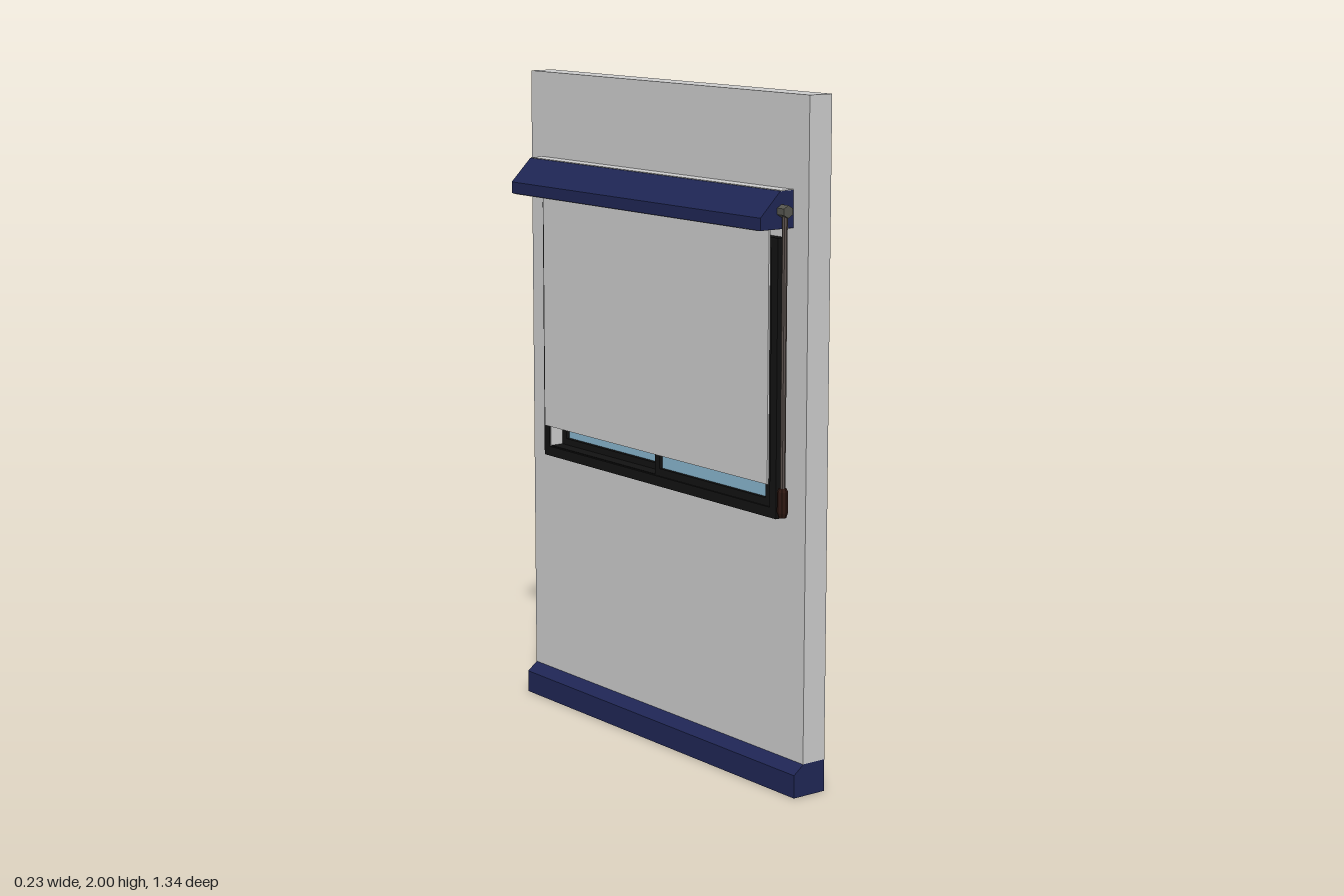
import * as THREE from 'three';

const mat = (color, side = THREE.FrontSide) => new THREE.MeshStandardMaterial({ color, side, flatShading: true });
const GREY = mat(0xcccccc);
const TRIM = mat(0x6f6f6f);
const BLACK = mat(0x121212);
const NAVY = mat(0x1f2655);
const GLASS = mat(0x88b6cf);
const CORD = mat(0x5a504c);
const METAL = mat(0x55554f);
const BROWN = mat(0x2e1812);

function add(parent, name, geometry, material) {
  const mesh = new THREE.Mesh(geometry, material);
  mesh.name = name;
  parent.add(mesh);
  return mesh;
}

// Box given by its limits on each axis
function box(parent, name, [x0, x1], [y0, y1], [z0, z1], material) {
  const mesh = add(parent, name, new THREE.BoxGeometry(x1 - x0, y1 - y0, z1 - z0), material);
  mesh.position.set((x0 + x1) / 2, (y0 + y1) / 2, (z0 + z1) / 2);
  return mesh;
}

const rect = (Type, [z0, z1], [y0, y1]) => new Type([
  new THREE.Vector2(z0, y0), new THREE.Vector2(z1, y0),
  new THREE.Vector2(z1, y1), new THREE.Vector2(z0, y1),
]);

// Rectangular panel across z and y with a rectangular opening, thick along x
function frame(parent, name, [x0, x1], outerZ, outerY, innerZ, innerY, material) {
  const shape = rect(THREE.Shape, outerZ, outerY);
  shape.holes.push(rect(THREE.Path, innerZ, innerY));
  const mesh = add(parent, name, new THREE.ExtrudeGeometry(shape, { depth: x1 - x0, bevelEnabled: false }), material);
  mesh.rotation.y = -Math.PI / 2;
  mesh.position.x = x1;
  return mesh;
}

// Profile in x and y, run along z
function moulding(parent, name, points, [z0, z1], material) {
  const shape = new THREE.Shape(points.map(([x, y]) => new THREE.Vector2(x, y)));
  const mesh = add(parent, name, new THREE.ExtrudeGeometry(shape, { depth: z1 - z0, bevelEnabled: false }), material);
  mesh.position.z = z0;
  return mesh;
}

function sash(parent, name, [x0, x1], [z0, z1]) {
  const group = new THREE.Group();
  group.name = name;
  const y = [0.832, 1.57], bar = 0.021;
  const innerZ = [z0 + bar, z1 - bar], innerY = [y[0] + bar, y[1] - bar];
  frame(group, name + 'Frame', [x0, x1], [z0, z1], y, innerZ, innerY, BLACK);
  const mid = (x0 + x1) / 2;
  box(group, name + 'Glass', [mid - 0.004, mid + 0.004], innerY, innerZ, GLASS);
  parent.add(group);
}

export function createModel() {
  const model = new THREE.Group();
  model.name = 'wallWithWindowAndBlind';

  // Wall with window opening, and skirting
  const openZ = [-0.545, 0.545], openY = [0.83, 1.57];
  frame(model, 'wall', [0.003, 0.083], [-0.67, 0.67], [0.095, 2], openZ, openY, GREY);
  moulding(model, 'skirting',
    [[-0.03, 0], [0.083, 0], [0.083, 0.095], [0.005, 0.095], [-0.03, 0.068]], [-0.67, 0.67], NAVY);

  // Window surrounds on both faces of the wall
  const trimZ = [-0.573, 0.573], trimY = [0.8, 1.6];
  frame(model, 'outerSurround', [0.083, 0.112], trimZ, trimY, openZ, openY, TRIM);
  frame(model, 'innerSurround', [-0.025, 0.003], trimZ, trimY, openZ, openY, BLACK);
  box(model, 'sill', [-0.02, 0.11], [0.828, 0.833], openZ, BLACK);
  for (const s of [-1, 1]) {
    box(model, 'jambLining', [-0.022, 0.109], openY, [s * 0.544 - 0.002, s * 0.544 + 0.002], GREY);
  }

  // Two sliding sashes on separate tracks, with the lining where they meet
  sash(model, 'leftSash', [-0.02, 0.01], [0, 0.542]);
  sash(model, 'rightSash', [0.022, 0.055], [-0.542, 0]);
  box(model, 'meetingStileLining', [-0.018, 0.053], [0.835, 1.568], [-0.002, 0.002], GREY);

  // Blind cassette, open colour on top and underside
  const cassetteZ = [-0.61, 0.605];
  moulding(model, 'blindCassette',
    [[-0.115, 1.63], [0.003, 1.63], [0.003, 1.735], [-0.045, 1.735], [-0.115, 1.665]], cassetteZ, NAVY);
  box(model, 'cassetteTop', [-0.043, 0.003], [1.733, 1.737], cassetteZ, GREY);
  box(model, 'cassetteUnderside', [-0.112, 0.003], [1.628, 1.632], [-0.6, 0.595], GREY);
  box(model, 'blindFabric', [-0.043, -0.037], [0.9, 1.66], [-0.545, 0.555], GREY);

  // Pull cord with its pulley and weight
  const cordX = -0.04, cordZ = 0.62;
  const pulley = add(model, 'cordPulley', new THREE.CylinderGeometry(0.018, 0.018, 0.03, 6), METAL);
  pulley.rotation.x = Math.PI / 2;
  pulley.position.set(cordX, 1.68, cordZ);
  const cord = add(model, 'pullCord', new THREE.CylinderGeometry(0.008, 0.008, 0.79, 8), CORD);
  cord.position.set(cordX, 1.285, cordZ);
  const weightProfile = [[0, 0.815], [0.011, 0.815], [0.016, 0.83], [0.016, 0.89], [0.011, 0.9], [0, 0.9]];
  const weight = add(model, 'cordWeight',
    new THREE.LatheGeometry(weightProfile.map(([r, y]) => new THREE.Vector2(r, y)), 8), BROWN);
  weight.position.set(cordX, 0, cordZ);

  return model;
}
